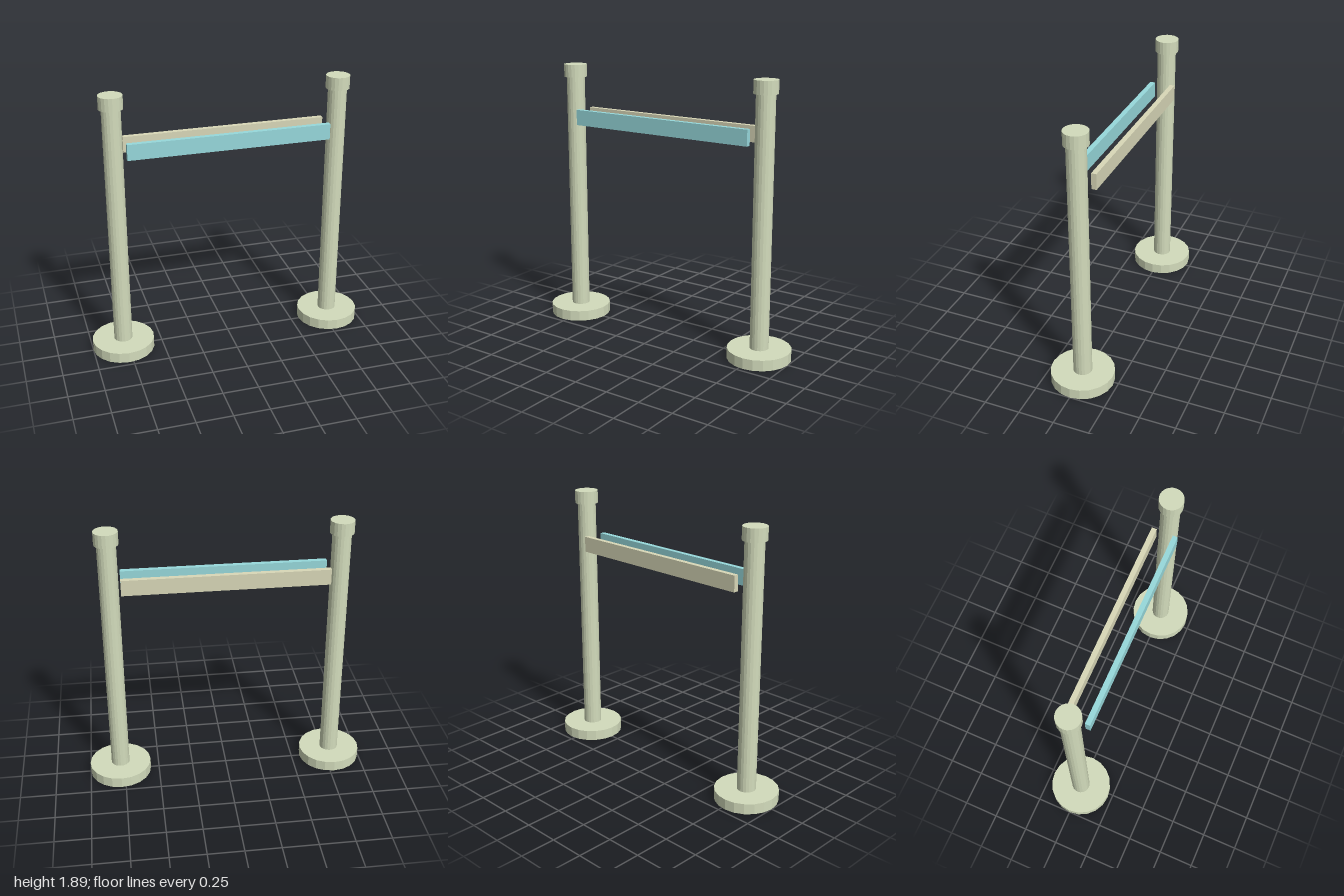
import * as THREE from 'three';

export function createModel() {
  const model = new THREE.Group();
  model.name = 'queueBarrier';
  const metal = new THREE.MeshStandardMaterial({ color: 0xd3dcbc, flatShading: true });
  const teal = new THREE.MeshStandardMaterial({ color: 0x97d9dc });
  const sand = new THREE.MeshStandardMaterial({ color: 0xd9d8b8 });

  const add = (parent, name, geometry, material, x, y, z) => {
    const mesh = new THREE.Mesh(geometry, material);
    mesh.name = name;
    mesh.position.set(x, y, z);
    parent.add(mesh);
  };

  // Upright disc or rod between two heights
  const addRound = (parent, name, radius, bottom, top) => add(
    parent, name, new THREE.CylinderGeometry(radius, radius, top - bottom, 20),
    metal, 0, (bottom + top) / 2, 0);

  // Two posts, each with a base, pole and cap
  for (const [name, side] of [['leftPost', 1], ['rightPost', -1]]) {
    const post = new THREE.Group();
    post.name = name;
    post.position.x = side * 0.78;
    addRound(post, 'base', 0.22, 0, 0.075);
    addRound(post, 'pole', 0.065, 0.075, 1.8);
    addRound(post, 'cap', 0.082, 1.8, 1.89);
    model.add(post);
  }

  // Flat rails in front of and behind the posts
  const rail = new THREE.BoxGeometry(1.405, 0.11, 0.035);
  add(model, 'frontRail', rail, teal, 0, 1.52, 0.075);
  add(model, 'backRail', rail, sand, 0, 1.52, -0.075);

  return model;
}
